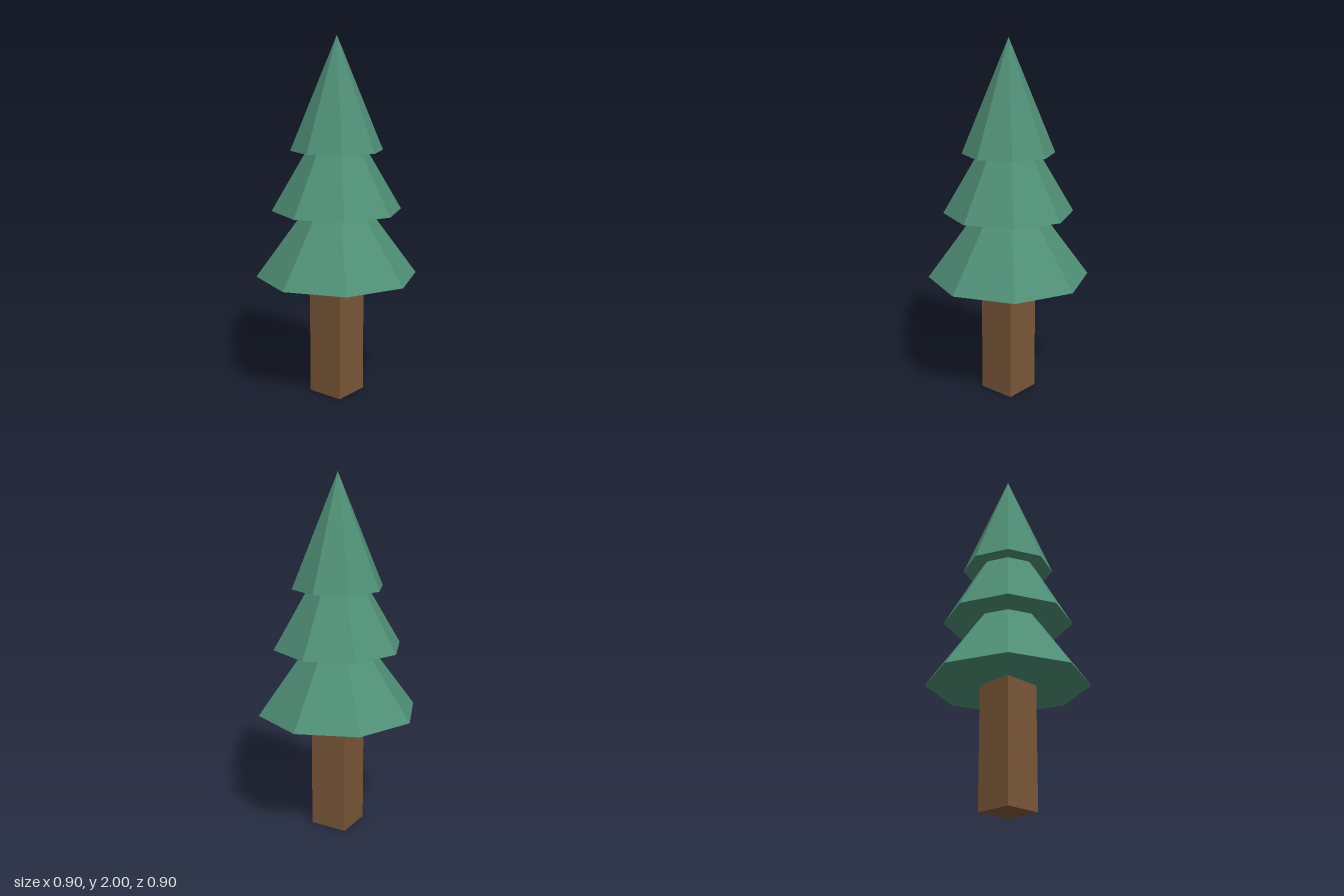
import * as THREE from 'three';

export function createModel() {
  const tree = new THREE.Group();
  tree.name = 'pineTree';

  const foliage = new THREE.MeshStandardMaterial({ color: 0x4f8f76, flatShading: true });
  foliage.name = 'foliage green';
  const bark = new THREE.MeshStandardMaterial({ color: 0x7a5737, flatShading: true });
  bark.name = 'bark brown';

  // Square trunk, ending just inside the lowest tier
  const trunkHeight = 0.7;
  const trunk = new THREE.Mesh(new THREE.BoxGeometry(0.215, trunkHeight, 0.215), bark);
  trunk.name = 'trunk';
  trunk.position.y = trunkHeight / 2;
  tree.add(trunk);

  // Three overlapping eight-sided cones of equal height
  const tierHeight = 0.615;
  const tiers = [
    ['lowerBranches', 0.45, 0.685],
    ['middleBranches', 0.36, 1.055],
    ['topBranches', 0.255, 1.385],
  ];
  for (const [name, radius, base] of tiers) {
    const tier = new THREE.Mesh(new THREE.ConeGeometry(radius, tierHeight, 8), foliage);
    tier.name = name;
    tier.position.y = base + tierHeight / 2;
    tree.add(tier);
  }

  return tree;
}
